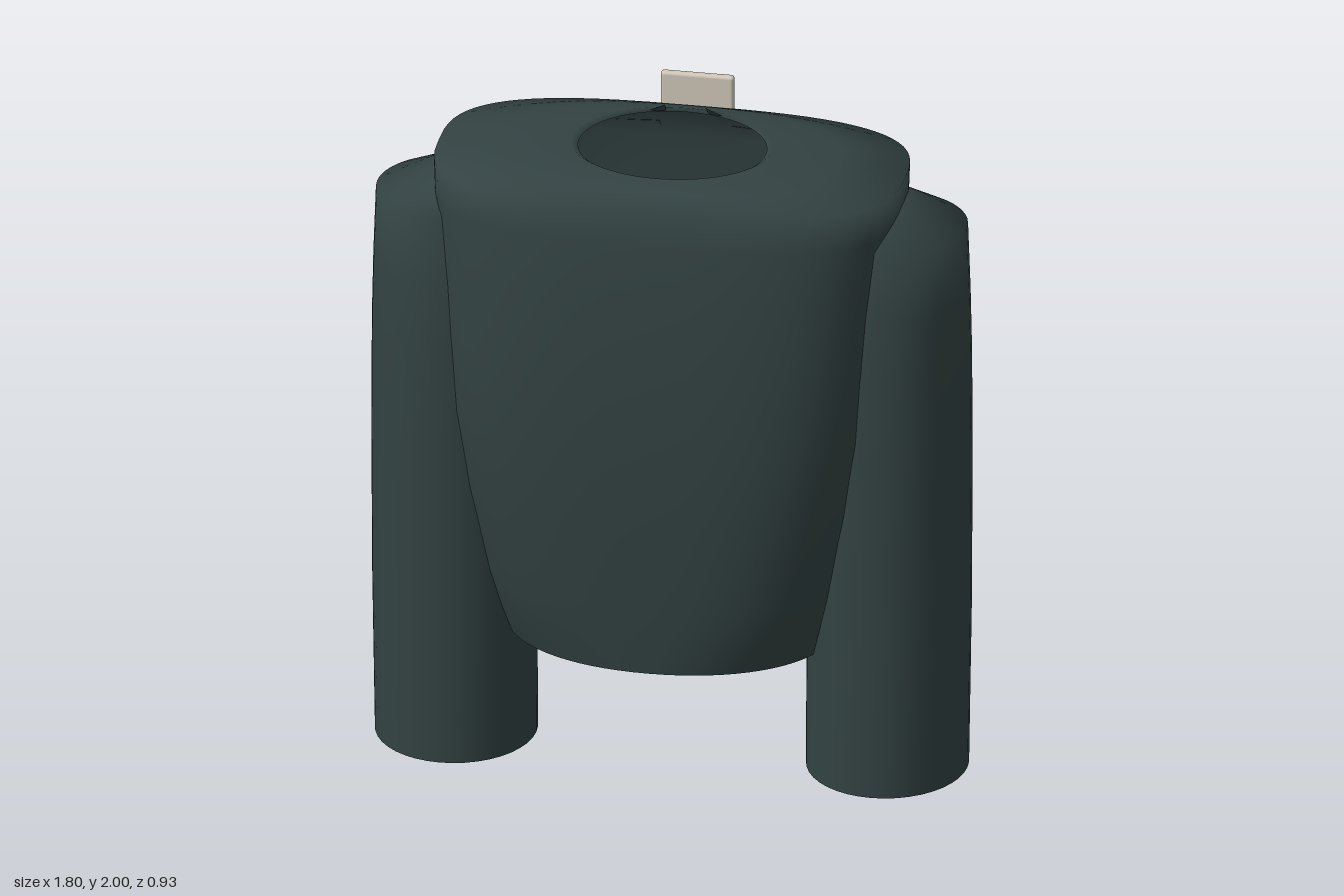
import * as THREE from 'three';
import { RoundedBoxGeometry } from 'three/addons/geometries/RoundedBoxGeometry.js';

const cloth = new THREE.MeshStandardMaterial({ name: 'dark green cloth', color: 0x334242, side: THREE.DoubleSide });
const cream = new THREE.MeshStandardMaterial({ name: 'cream label', color: 0xd0c8b8 });

// Skin over horizontal superellipse rings [y, centreX, centreZ, halfWidth, halfDepth, exponent], listed upward
function loft(rings, sides, keep = () => true) {
  const pos = [], index = [];
  for (const [y, cx, cz, w, d, n] of rings) {
    for (let i = 0; i < sides; i++) {
      const a = (i / sides) * Math.PI * 2, c = Math.cos(a), s = Math.sin(a);
      pos.push(
        cx + w * Math.sign(c) * Math.abs(c) ** (2 / n),
        y,
        cz + d * Math.sign(s) * Math.abs(s) ** (2 / n));
    }
  }
  for (let r = 0; r < rings.length - 1; r++) {
    for (let i = 0; i < sides; i++) {
      const a = r * sides + i, b = r * sides + (i + 1) % sides;
      const x = (pos[a * 3] + pos[b * 3]) / 2;
      if (keep(x, rings[r][0])) index.push(a, a + sides, b, b, a + sides, b + sides);
    }
  }
  const g = new THREE.BufferGeometry();
  g.setAttribute('position', new THREE.Float32BufferAttribute(pos, 3));
  g.setIndex(index);
  g.computeVertexNormals();
  return g;
}

// Flat panel fanned from its first corner
function panel(points) {
  const pos = [];
  for (let i = 1; i < points.length - 1; i++) pos.push(...points[0], ...points[i], ...points[i + 1]);
  const g = new THREE.BufferGeometry();
  g.setAttribute('position', new THREE.Float32BufferAttribute(pos, 3));
  g.computeVertexNormals();
  return g;
}

export function createModel() {
  const model = new THREE.Group();
  model.name = 'jacket';
  const add = (name, geometry, material = cloth, x = 0, y = 0, z = 0) => {
    const mesh = new THREE.Mesh(geometry, material);
    mesh.name = name;
    mesh.position.set(x, y, z);
    model.add(mesh);
    return mesh;
  };

  // Torso shell with a round neck opening and cut armholes
  const torso = [
    [0.40, 0, 0.03, 0.49, 0.37, 2.1],
    [0.50, 0, 0.03, 0.517, 0.382, 2.4],
    [0.62, 0, 0.03, 0.545, 0.395, 2.7],
    [0.90, 0, 0.03, 0.605, 0.42, 2.9],
    [1.15, 0, 0.03, 0.645, 0.43, 3],
    [1.39, 0, 0.03, 0.665, 0.428, 3],
    [1.64, 0, 0.03, 0.68, 0.412, 3],
    [1.80, 0, 0.03, 0.695, 0.388, 3],
    [1.91, 0, 0.03, 0.70, 0.37, 3],
    [1.94, 0, 0.03, 0.50, 0.305, 2.5],
    [1.96, 0, 0.03, 0.30, 0.245, 2],
    [1.945, 0, 0.022, 0.28, 0.24, 2],
  ];
  add('torso', loft(torso, 72, (x, y) => !(Math.abs(x) > 0.645 && y > 1.38 && y < 1.6)));

  for (const s of [1, -1]) {
    const side = s > 0 ? 'left' : 'right';

    // Open sleeve, closing into the shoulder
    const sleeve = [
      [0, 0.647, 0.03, 0.24, 0.26, 2],
      [0.5, 0.652, 0.03, 0.243, 0.26, 2],
      [1.0, 0.655, 0.03, 0.243, 0.26, 2],
      [1.35, 0.655, 0.03, 0.241, 0.258, 2],
      [1.55, 0.655, 0.03, 0.237, 0.245, 2],
      [1.76, 0.66, 0.03, 0.225, 0.22, 2],
      [1.83, 0.59, 0.03, 0.11, 0.15, 2],
      [1.86, 0.52, 0.03, 0.01, 0.01, 2],
    ].map(([y, x, ...rest]) => [y, x * s, ...rest]);
    add(side + 'Sleeve', loft(sleeve, 40));

    // Folded collar leaf with its underside, and the small inner collar corner
    const mirror = pts => pts.map(([x, y, z]) => [x * s, y, z]);
    add(side + 'CollarLeaf', panel(mirror([
      [0.085, 1.77, -0.455], [0.17, 1.64, -0.435], [0.26, 1.72, -0.385], [0.285, 1.84, -0.345], [0.11, 1.85, -0.345],
    ])));
    add(side + 'CollarEdge', panel(mirror([
      [0.085, 1.77, -0.455], [0.11, 1.85, -0.345], [0.09, 1.75, -0.38], [0.17, 1.64, -0.435],
    ])));
    add(side + 'CollarCorner', panel(mirror([
      [0.06, 1.985, -0.175], [0.11, 1.955, -0.19], [0.065, 1.945, -0.215],
    ])));

    // Chest pocket and flap
    add(side + 'Pocket', new RoundedBoxGeometry(0.19, 0.25, 0.04, 2, 0.008), cloth, s * 0.33, 1.485, -0.418);
    add(side + 'PocketFlap', new RoundedBoxGeometry(0.22, 0.06, 0.03, 2, 0.01), cloth, s * 0.325, 1.605, -0.45);
  }

  // Button placket
  add('placket', new RoundedBoxGeometry(0.06, 1.12, 0.04, 2, 0.008), cloth, 0, 1.14, -0.41);
  const button = new THREE.CylinderGeometry(0.016, 0.016, 0.012, 16).rotateX(Math.PI / 2);
  for (let i = 0; i < 5; i++) add('button' + (i + 1), button, cloth, 0, 0.65 + i * 0.22, -0.45);

  // Neck label
  add('neckLabel', new RoundedBoxGeometry(0.22, 0.16, 0.026, 2, 0.01), cream, 0, 1.92, -0.374);

  return model;
}
